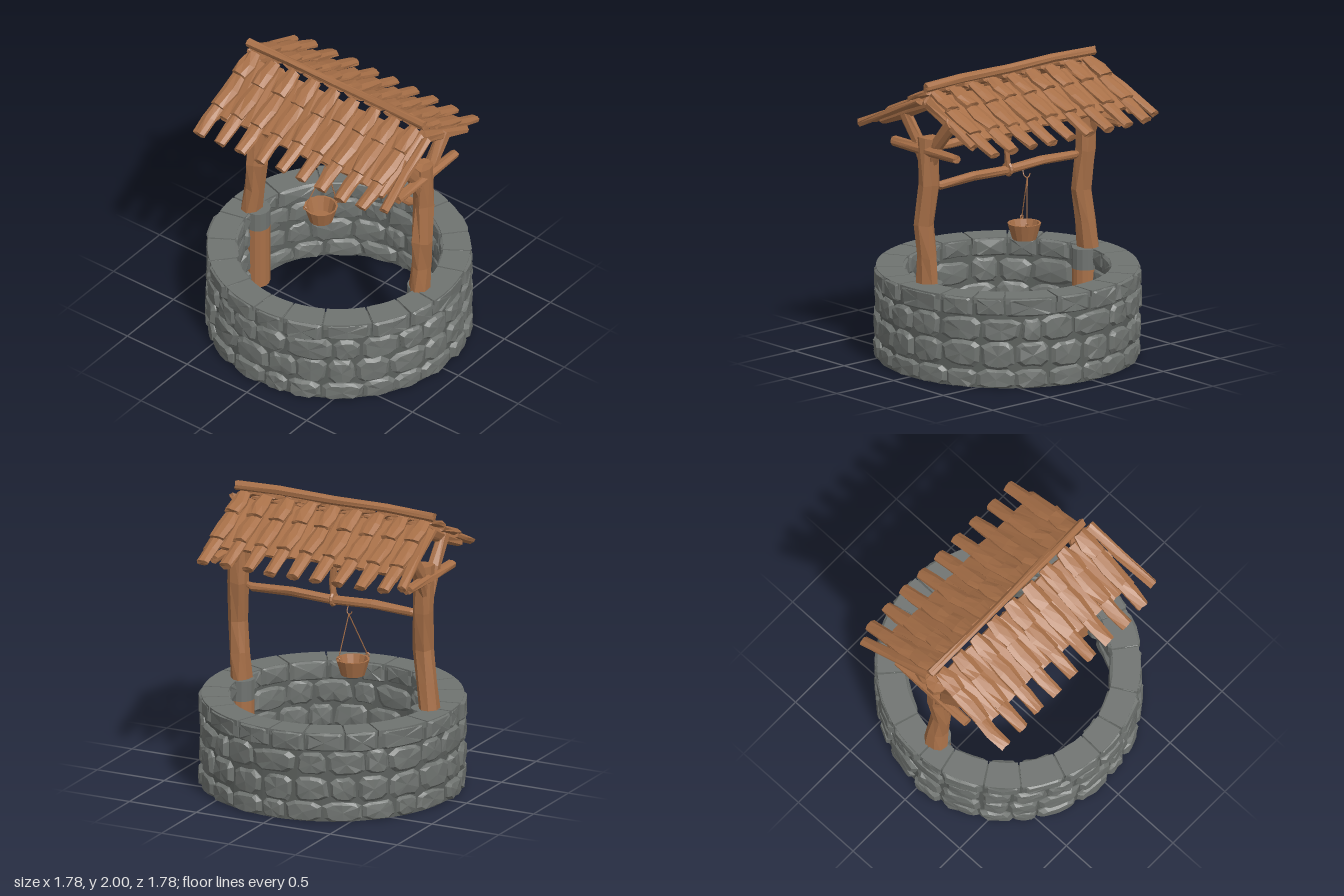
import * as THREE from 'three';

const wood = new THREE.MeshStandardMaterial({ color: 0xa87048, flatShading: true, name: 'wood' });
const stone = new THREE.MeshStandardMaterial({ color: 0x6f7370, flatShading: true, name: 'stone' });
const mortar = new THREE.MeshStandardMaterial({ color: 0x5c605d, flatShading: true, name: 'mortar' });

// small seeded random: jit(a) gives a value in -a..a
let seed = 7;
const rnd = () => {
  seed = (seed * 16807) % 2147483647;
  return seed / 2147483647;
};
const jit = (a) => (rnd() * 2 - 1) * a;
const V = (x, y, z) => new THREE.Vector3(x, y, z);

// closed faceted solid through rings of equal point count
function loft(rings, bulge = 0) {
  const n = rings[0].length;
  const pos = [];
  const tri = (...p) => p.forEach((v) => pos.push(v.x, v.y, v.z));
  const centre = (r) => r.reduce((s, p) => s.add(p), V(0, 0, 0)).divideScalar(n);
  const last = rings[rings.length - 1];
  const c0 = centre(rings[0]);
  const c1 = centre(last);
  c1.addScaledVector(c1.clone().sub(c0).normalize(), bulge);
  for (let j = 0; j < n; j++) {
    const k = (j + 1) % n;
    for (let i = 0; i < rings.length - 1; i++) {
      const a = rings[i], b = rings[i + 1];
      tri(a[j], a[k], b[j]);
      tri(a[k], b[k], b[j]);
    }
    tri(c0, rings[0][k], rings[0][j]);
    tri(c1, last[j], last[k]);
  }
  const g = new THREE.BufferGeometry();
  g.setAttribute('position', new THREE.Float32BufferAttribute(pos, 3));
  g.computeVertexNormals();
  return g;
}

function add(parent, name, geometry, material) {
  const m = new THREE.Mesh(geometry, material);
  m.name = name;
  parent.add(m);
  return m;
}

// rough timber along points [x, y, z, width, height]; width lies along side
function timber(parent, name, pts, side, rough = 0.007, n = 8) {
  const p = pts.map((q) => V(q[0], q[1], q[2]));
  const rings = pts.map((q, i) => {
    const t = p[Math.min(i + 1, p.length - 1)].clone().sub(p[Math.max(i - 1, 0)]).normalize();
    const s = side.clone().addScaledVector(t, -side.dot(t)).normalize();
    const up = t.clone().cross(s);
    return Array.from({ length: n }, (_, j) => {
      const a = ((j + 0.5) / n) * Math.PI * 2;
      return p[i].clone()
        .addScaledVector(s, Math.cos(a) * q[3] * 0.53 + jit(rough))
        .addScaledVector(up, Math.sin(a) * q[4] * 0.53 + jit(rough))
        .addScaledVector(t, jit(rough));
    });
  });
  return add(parent, name, loft(rings), wood);
}

// one hewn stone on the wall; dir 1 faces outward, -1 faces inward
function wallStone(parent, a0, a1, y0, y1, rBack, rFace, dir, square) {
  const am = (a0 + a1) / 2, ym = (y0 + y1) / 2;
  const ha = (a1 - a0) / 2, hy = (y1 - y0) / 2;
  const cut = square ? 0.85 : 0.62;
  const outline = [[1, -cut], [1, cut], [cut, 1], [0, 1], [-cut, 1], [-1, cut], [-1, -cut], [-cut, -1], [0, -1], [cut, -1]]
    .map(([u, v]) => [u + jit(square ? 0.03 : 0.1), v + (square ? 0 : jit(0.1))]);
  const ring = (r, k, rough) => outline.map(([u, v]) => {
    const a = am + dir * u * ha * k;
    const rr = r + jit(rough);
    const y = Math.min(0.62, Math.max(0, ym + v * hy * k));
    return V(Math.sin(a) * rr, y, Math.cos(a) * rr);
  });
  const rings = [ring(rBack, 1, 0), ring(rFace - dir * 0.022, 1, 0.006), ring(rFace, 0.78, 0.007)];
  add(parent, 'wallStone', loft(rings, 0.006), stone);
}

// uneven split of the circle into n angles
function splitCircle(n) {
  const off = rnd();
  const a = Array.from({ length: n }, (_, i) => ((i + off + jit(0.22)) / n) * Math.PI * 2);
  return [...a, a[0] + Math.PI * 2];
}

function buildWall(root) {
  const wall = new THREE.Group();
  wall.name = 'stoneWall';
  root.add(wall);
  const profile = [[0.855, 0], [0.855, 0.6], [0.705, 0.6], [0.705, 0], [0.855, 0]];
  add(wall, 'wallCore', new THREE.LatheGeometry(profile.map((p) => new THREE.Vector2(...p)), 64), mortar);

  const rows = [0, 0.135, 0.315, 0.485, 0.62];
  for (let r = 0; r < 4; r++) {
    const top = r === 3;
    const outer = splitCircle(top ? 20 : 23);
    const inner = top ? outer : splitCircle(19);
    const y0 = rows[r] + 0.005, y1 = rows[r + 1] - (top ? 0 : 0.005);
    for (const [list, dir] of [[outer, 1], [inner, -1]]) {
      for (let i = 0; i < list.length - 1; i++) {
        const face = (dir > 0 ? 0.882 : 0.682) + jit(0.008);
        const lo = r === 0 ? 0 : y0 + jit(0.008);
        wallStone(wall, list[i] + 0.008, list[i + 1] - 0.008, lo, top ? y1 : y1 + jit(0.008), 0.78, face, dir, top);
      }
    }
    // flat capping slabs across the wall
    if (top) {
      for (let i = 0; i < outer.length - 1; i++) {
        const a0 = outer[i] + 0.008, a1 = outer[i + 1] - 0.008;
        const ring = (y) => {
          const p = [];
          for (let k = 0; k <= 4; k++) p.push([a0 + (a1 - a0) * k / 4, 0.872]);
          for (let k = 4; k >= 0; k--) p.push([a0 + (a1 - a0) * k / 4, 0.692]);
          return p.map(([a, rr]) => V(Math.sin(a) * rr, y, Math.cos(a) * rr));
        };
        add(wall, 'capStone', loft([ring(0.58), ring(0.62)]), stone);
      }
    }
  }
}

function buildFrame(root) {
  const X = V(1, 0, 0), Y = V(0, 1, 0);
  for (const s of [-1, 1]) {
    // post, its round footing and stone collar
    const lean = s < 0 ? [-0.72, -0.7, -0.67, -0.68, -0.69] : [0.69, 0.7, 0.715, 0.7, 0.7];
    const heights = [0.6, 0.8, 1.02, 1.3, 1.62];
    const depth = [0.015, 0.01, 0.025, -0.01, -0.01];
    timber(root, 'post', heights.map((y, i) => [lean[i], y, depth[i], 0.13, i === 0 ? 0.165 : 0.135]), X, 0.008);
    const foot = add(root, 'postFoot', new THREE.CylinderGeometry(0.084, 0.084, 0.47, 14), wood);
    foot.position.set(s * 0.68, 0.245, 0);
    const collar = add(root, 'postCollar', new THREE.CylinderGeometry(0.086, 0.086, 0.14, 14), stone);
    collar.position.set(s * 0.68, 0.549, 0);

    // gable tie beam, braces and rafters
    const x = s * 0.725;
    timber(root, 'tieBeam', [[x, 1.535, -0.32, 0.07, 0.06], [x, 1.535, 0, 0.07, 0.065], [x, 1.535, 0.31, 0.07, 0.06]], X, 0.005);
    for (const d of [-1, 1]) {
      timber(root, 'brace', [[s * 0.7, 1.38, d * 0.02, 0.07, 0.06], [s * 0.7, 1.58, d * 0.1, 0.08, 0.09], [s * 0.7, 1.76, d * 0.24, 0.07, 0.1]], X);
      timber(root, 'rafter', [[s * 0.69, 1.85, d * 0.0, 0.07, 0.09], [s * 0.69, 1.74, d * 0.24, 0.07, 0.08], [s * 0.69, 1.64, d * 0.46, 0.07, 0.05]], X);
    }
    // loose slanting board at the roof end
    timber(root, 'endBoard', [[s * 0.75, 1.87, s * 0.02, 0.06, 0.045], [s * 0.77, 1.76, s * 0.27, 0.075, 0.05], [s * 0.805, 1.625, s * 0.56, 0.065, 0.045]], X);
  }
  // long beam, ridge pole and winding log
  const along = (xs, y, w, sway) => xs.map((x, i) => [x, y + (i % 2 ? sway : -sway), 0, w, w]);
  timber(root, 'crossBeam', along([-0.72, -0.4, -0.1, 0.25, 0.5, 0.71], 1.54, 0.06, 0.007), Y, 0.005);
  timber(root, 'ridgePole', along([-0.76, -0.4, 0, 0.4, 0.72], 1.963, 0.057, 0.004), Y, 0.005);
  timber(root, 'windingLog', [[-0.63, 1.27, 0, 0.03, 0.03], ...along([-0.59, -0.3, 0, 0.3, 0.6], 1.275, 0.055, 0.006), [0.64, 1.285, 0, 0.03, 0.03]], Y, 0.004);
}

function buildRoof(root) {
  const roof = new THREE.Group();
  roof.name = 'roof';
  root.add(roof);
  const X = V(1, 0, 0);
  const slope = (z) => 1.925 - 0.515 * z;
  const plank = (name, x, d, z0, z1, o0, o1, w0, w1, w2, h) => {
    const e = z1 + jit(0.01), zm = (z0 + e) / 2, om = (o0 + o1) / 2;
    const sway = jit(0.008);
    timber(roof, name, [[x, slope(z0) + o0, d * z0, w0, h], [x + sway, slope(zm) + om, d * zm, w1, h], [x, slope(e) + o1, d * e, w2, h]], X, 0.005);
  };
  for (const d of [-1, 1]) {
    for (let i = 0; i < 9; i++) {
      const x = -0.69 + i * 0.1675;
      plank('upperShingle', x, d, 0.02, 0.205, 0, 0.018, 0.09, 0.125, 0.11, 0.045);
      plank('middleShingle', x, d, 0.17, 0.425, -0.012, 0.016, 0.1, 0.125, 0.1, 0.045);
      plank('lowerShingle', x, d, 0.38, 0.62, -0.014, 0.003, 0.1, 0.095, 0.085, 0.05);
      if (i < 8) plank('underPlank', x + 0.084, d, 0.04, 0.445, -0.025, -0.025, 0.12, 0.13, 0.11, 0.03);
    }
  }
}

function buildBucket(root) {
  // rope strap with a knot holding the log
  const X = V(1, 0, 0);
  timber(root, 'ropeStrap', [[0, 1.59, 0, 0.04, 0.04], [-0.01, 1.5, 0, 0.045, 0.05], [0.005, 1.4, 0, 0.035, 0.04], [-0.01, 1.24, 0, 0.04, 0.05]], X, 0.004);
  for (const [y, r] of [[1.275, 0.038], [1.54, 0.042]]) {
    const loop = add(root, 'ropeLoop', new THREE.TorusGeometry(r, 0.014, 6, 12), wood);
    loop.position.set(-0.005, y, 0);
    loop.rotation.y = Math.PI / 2;
  }
  for (const s of [-1, 1]) {
    timber(root, 'knotEnd', [[0, 1.47, 0.01, 0.03, 0.03], [s * 0.035, 1.485, 0.025, 0.03, 0.025], [s * 0.06, 1.51, 0.03, 0.008, 0.008]], V(0, 0, 1), 0.002, 6);
    timber(root, 'knotEnd', [[0, 1.47, 0.01, 0.03, 0.03], [s * 0.03, 1.435, 0.025, 0.012, 0.012]], V(0, 0, 1), 0.002, 6);
  }
  // bucket
  const profile = [[0, 0], [0.08, 0], [0.113, 0.11], [0.1, 0.11], [0.072, 0.015], [0, 0.015]];
  const bucket = add(root, 'bucket', new THREE.LatheGeometry(profile.map((p) => new THREE.Vector2(...p)), 14), wood);
  bucket.position.set(-0.15, 0.77, 0);
  // wire handle and hook
  const wire = (name, pts) => add(root, name, new THREE.TubeGeometry(new THREE.CatmullRomCurve3(pts), 16, 0.004, 5), wood);
  for (const s of [-1, 1]) {
    const ear = V(-0.15 + s * 0.06, 0.89, -s * 0.095);
    wire('handleWire', [ear, ear.clone().lerp(V(-0.14, 1.2, -0.04), 0.5), V(-0.14, 1.2, -0.04)]);
    const ring = add(root, 'handleEar', new THREE.TorusGeometry(0.012, 0.005, 5, 10), wood);
    ring.position.copy(ear);
  }
  wire('hook', [V(-0.165, 1.225, -0.04), V(-0.155, 1.205, -0.04), V(-0.14, 1.2, -0.04), V(-0.122, 1.215, -0.03), V(-0.125, 1.26, -0.01)]);
}

export function createModel() {
  seed = 7;
  const root = new THREE.Group();
  root.name = 'well';
  buildWall(root);
  buildFrame(root);
  buildRoof(root);
  buildBucket(root);
  return root;
}
